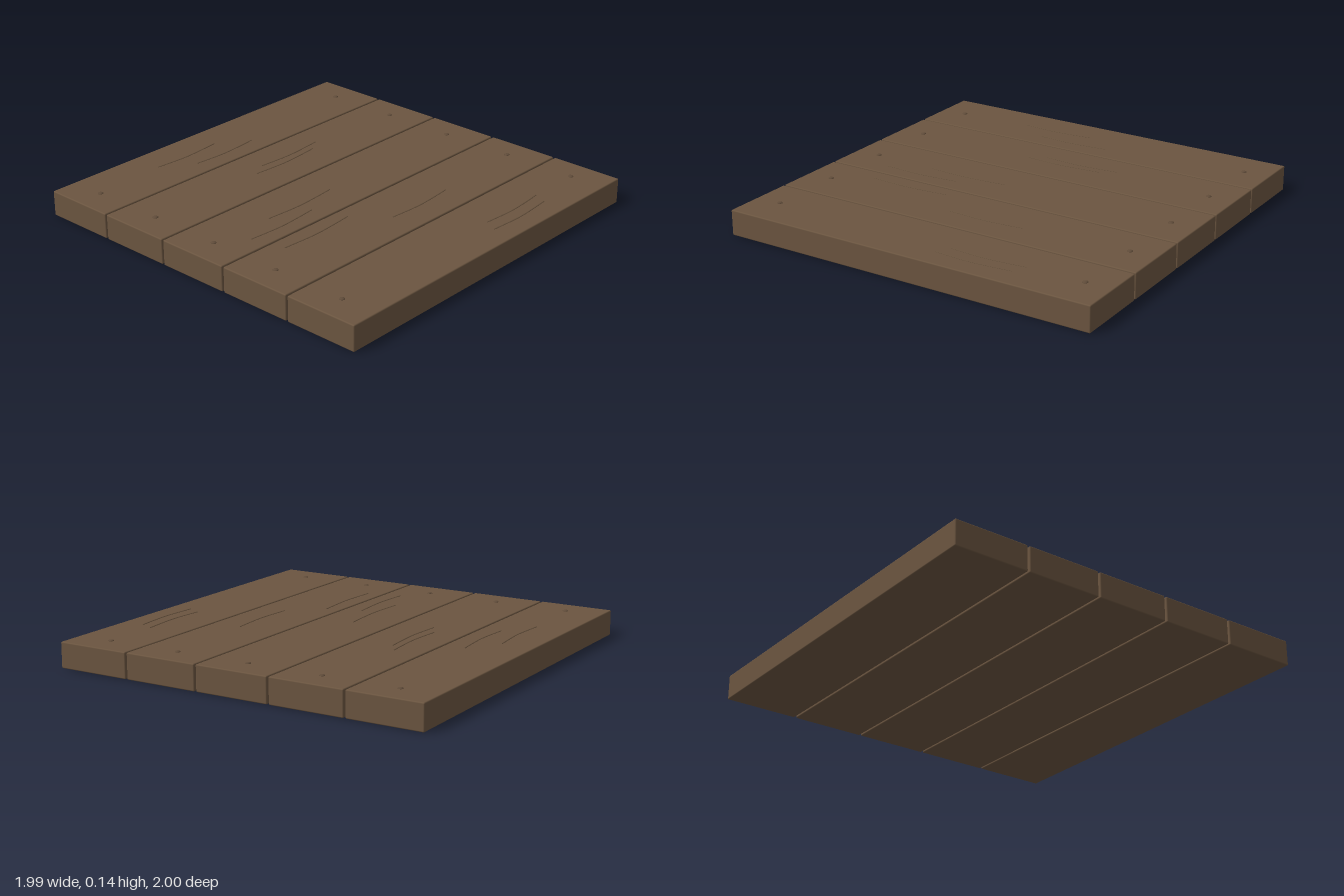
import * as THREE from 'three';
import { RoundedBoxGeometry } from 'three/addons/geometries/RoundedBoxGeometry.js';

export function createModel() {
  const group = new THREE.Group();
  const wood = new THREE.MeshStandardMaterial({ color: 0x6b5540 });
  wood.name = 'brownWood';
  const nailMat = new THREE.MeshStandardMaterial({ color: 0x5f4b39 });
  nailMat.name = 'darkBrownNail';

  const TOP = 0.132, PITCH = 0.4;

  function add(name, geometry, material, x, y, z) {
    const mesh = new THREE.Mesh(geometry, material);
    mesh.name = name;
    mesh.position.set(x, y, z);
    group.add(mesh);
    return mesh;
  }

  // Five planks, each with a nail near either end
  const plankGeo = new RoundedBoxGeometry(0.39, TOP, 2, 2, 0.006);
  const nailGeo = new THREE.SphereGeometry(0.014, 12, 6, 0, Math.PI * 2, 0, Math.PI / 2);
  nailGeo.scale(1, 0.45, 1);
  for (let i = -2; i <= 2; i++) {
    add('plank', plankGeo, wood, i * PITCH, TOP / 2, 0);
    for (const z of [-0.86, 0.86]) add('nail', nailGeo, nailMat, i * PITCH, TOP, z);
  }

  // Raised grain lines: start x, start z, length
  const grains = [
    [-0.828, 0.06, 0.4], [-0.715, -0.105, 0.4],
    [-0.449, -0.315, 0.41], [-0.4, -0.24, 0.42],
    [0.006, 0.07, 0.44], [0.098, 0.3, 0.42],
    [0.275, 0.24, 0.44], [0.434, -0.31, 0.41],
    [0.802, -0.56, 0.4], [0.872, -0.53, 0.41],
  ];
  for (const [x, z, len] of grains) {
    const path = new THREE.CatmullRomCurve3([
      new THREE.Vector3(0, 0, 0),
      new THREE.Vector3(0.01, 0, len * 0.25),
      new THREE.Vector3(0.017, 0, len * 0.55),
      new THREE.Vector3(0.006, 0, len),
    ]);
    add('grainLine', new THREE.TubeGeometry(path, 16, 0.004, 6), wood, x, TOP, z);
  }
  return group;
}
